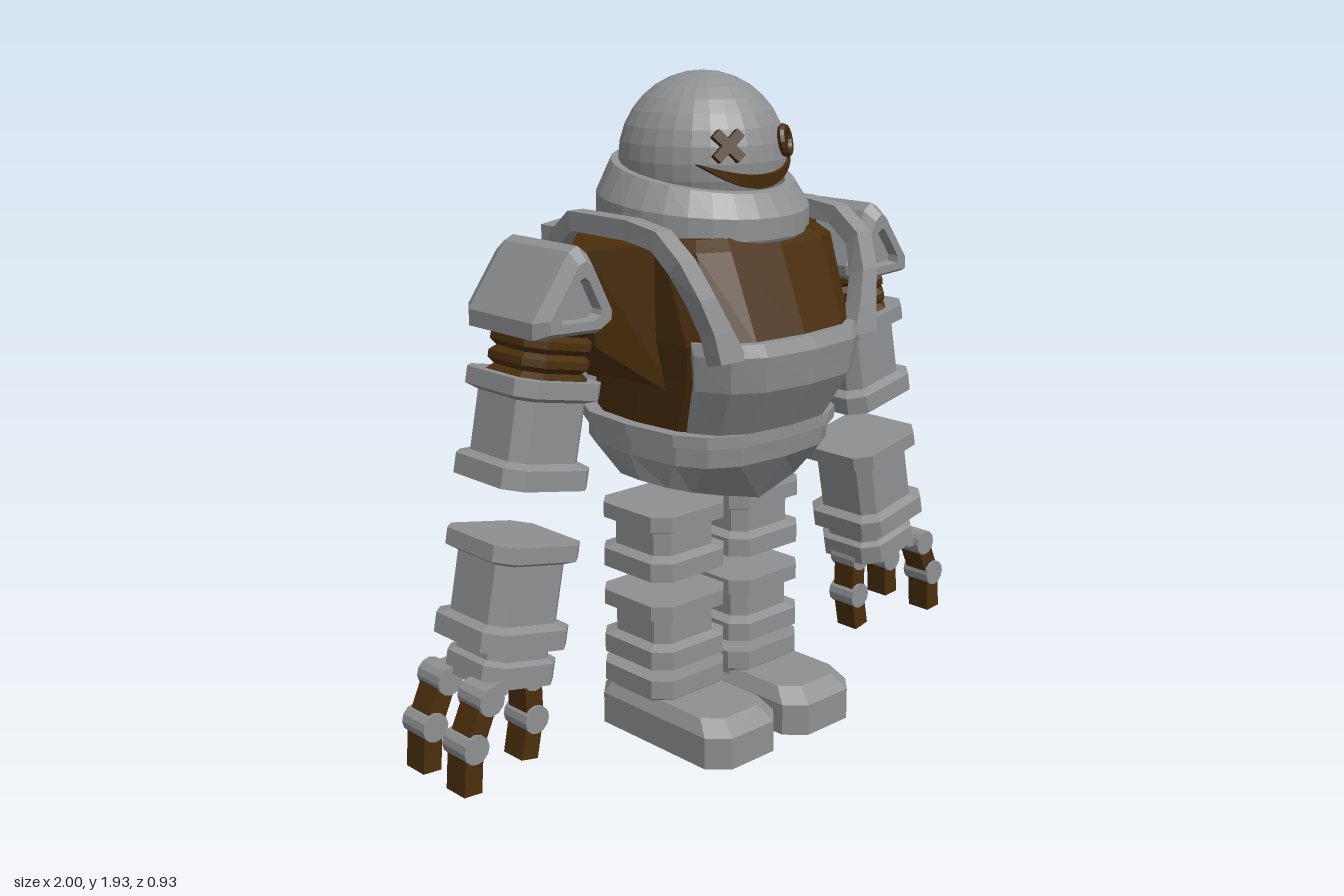
import * as THREE from 'three';

const grey = new THREE.MeshStandardMaterial({ color: 0x8e9092 });
grey.name = 'armour grey';
const brown = new THREE.MeshStandardMaterial({ color: 0x4a2e0b });
brown.name = 'dark brown';

// Reverse the winding of a non-indexed geometry
function flip(geo) {
  const p = geo.attributes.position, a = new THREE.Vector3(), b = new THREE.Vector3();
  for (let i = 0; i < p.count; i += 3) {
    a.fromBufferAttribute(p, i + 1);
    b.fromBufferAttribute(p, i + 2);
    p.setXYZ(i + 1, b.x, b.y, b.z);
    p.setXYZ(i + 2, a.x, a.y, a.z);
  }
  return geo;
}

// Closed solid through a list of equal-length rings of [x, y, z]
function loft(rings) {
  const v = [], n = rings[0].length;
  for (let r = 0; r + 1 < rings.length; r++) {
    for (let i = 0; i < n; i++) {
      const j = (i + 1) % n, A = rings[r], B = rings[r + 1];
      v.push(...A[i], ...A[j], ...B[j], ...A[i], ...B[j], ...B[i]);
    }
  }
  const cap = (ring, back) => {
    const c = [0, 1, 2].map(k => ring.reduce((s, q) => s + q[k], 0) / n);
    ring.forEach((q, i) => {
      const w = ring[(i + 1) % n];
      v.push(...c, ...(back ? w : q), ...(back ? q : w));
    });
  };
  cap(rings[0], true);
  cap(rings[rings.length - 1], false);
  const geo = new THREE.BufferGeometry();
  geo.setAttribute('position', new THREE.Float32BufferAttribute(v, 3));
  // Signed volume tells whether the faces point outwards
  let vol = 0;
  for (let i = 0; i < v.length; i += 9) {
    const [a, b, c] = [0, 3, 6].map(k => new THREE.Vector3(v[i + k], v[i + k + 1], v[i + k + 2]));
    vol += a.dot(b.cross(c));
  }
  return vol < 0 ? flip(geo) : geo;
}

// Rounded-rectangle ring and chamfered-rectangle ring, both level at y
const oval = (y, hx, z0, z1, n = 16, e = 0.65) => Array.from({ length: n }, (_, i) => {
  const t = i / n * Math.PI * 2, f = s => Math.abs(s) < 1e-6 ? 0 : Math.sign(s) * Math.abs(s) ** e;
  return [hx * f(Math.cos(t)), y, (z0 + z1) / 2 + (z1 - z0) / 2 * f(Math.sin(t))];
});
const oct = (y, hx, z0, z1, c) => [[hx, z0 + c], [hx, z1 - c], [hx - c, z1], [c - hx, z1],
  [-hx, z1 - c], [-hx, z0 + c], [c - hx, z0], [hx - c, z0]].map(([x, z]) => [x, y, z]);

// Chamfered block whose half width follows [y, scale] pairs
const stack = (profile, h) => loft(profile.map(([y, s]) => oct(y, h * s, -h * s, h * s, 0.045 * s)));
// Sleeve with a flange at each end
const sleeve = (h, half) => stack([[-h / 2, 1], [0.055 - h / 2, 1], [0.068 - h / 2, 0.8],
  [h / 2 - 0.058, 0.8], [h / 2 - 0.045, 1], [h / 2, 1]], half);

export function createModel() {
  const model = new THREE.Group();
  model.name = 'robot';

  const put = (name, geo, mat) => {
    const g = geo.index ? geo.toNonIndexed() : geo;
    g.computeVertexNormals();
    const m = new THREE.Mesh(g, mat);
    m.name = name;
    model.add(m);
  };
  const pair = (name, geo, mat) => {
    const g = geo.index ? geo.toNonIndexed() : geo;
    put(name + 'Left', g, mat);
    put(name + 'Right', flip(g.clone().scale(-1, 1, 1)), mat);
  };

  // Head dome
  put('headDome', new THREE.SphereGeometry(0.24, 28, 16).translate(0, 1.69, 0.015), grey);

  // Collar, raised towards the back
  const collar = new THREE.LatheGeometry([[0.22, 1.46], [0.29, 1.46], [0.305, 1.49], [0.305, 1.575],
    [0.262, 1.655], [0.235, 1.655], [0.235, 1.6]].map(q => new THREE.Vector2(...q)), 28);
  const cp = collar.attributes.position;
  for (let i = 0; i < cp.count; i++) {
    const k = Math.max(0, (cp.getY(i) - 1.48) / 0.17);
    cp.setY(i, cp.getY(i) - 0.17 * k * cp.getZ(i));
  }
  put('collar', collar.translate(0, 0, 0.015), grey);

  // Face: cross eye, ring eye and smile
  const onFace = (geo, x) => geo.rotateX(-0.2).rotateY(Math.atan2(x, 0.21)).translate(x, 1.74, 0.228);
  for (const s of [1, -1]) {
    put('crossEye', onFace(new THREE.BoxGeometry(0.1, 0.028, 0.035).rotateZ(s * Math.PI / 4), -0.112), brown);
  }
  put('ringEye', onFace(new THREE.TorusGeometry(0.037, 0.012, 6, 16), 0.115), brown);
  const smile = [];
  for (let i = 0; i <= 16; i++) {
    const u = i / 8 - 1, x = 0.18 * u, top = 1.658 + 0.034 * u * u, low = 1.618 + 0.072 * u * u;
    const at = (y, r) => [x, y, 0.015 + Math.sqrt(r * r - x * x - (y - 1.69) ** 2)];
    smile.push([at(low, 0.25), at(top, 0.25), at(top, 0.232), at(low, 0.232)]);
  }
  put('smile', loft(smile), brown);

  // Torso core and wedge shoulders
  put('torsoCore', loft([oval(0.94, 0.285, -0.25, 0.32), oval(1.12, 0.305, -0.25, 0.41),
    oval(1.22, 0.32, -0.25, 0.425), oval(1.47, 0.335, -0.25, 0.325), oval(1.5, 0.3, -0.24, 0.29)]), brown);
  pair('shoulderWedge', loft([
    [[0.27, 1.06, -0.19], [0.27, 1.06, 0.19], [0.29, 1.49, 0.19], [0.29, 1.49, -0.19]],
    [[0.425, 1.2, -0.025], [0.425, 1.2, 0.035], [0.46, 1.47, 0.035], [0.46, 1.47, -0.025]]]), brown);

  // Breast plate wrapped round the lower chest
  const rows = [[0.95, 0.275, 0.36], [1.1, 0.31, 0.45], [1.2, 0.325, 0.465], [1.235, 0.325, 0.45]];
  const outer = rows.map(([y, hx, z]) => oval(y, hx, -0.24, z));
  const inner = rows.map(([y, hx, z]) => oval(y, hx - 0.04, -0.24, z - 0.05));
  put('breastPlate', loft([1, 2, 3, 4, 5, 6, 7].map(k =>
    [...outer.map(r => r[k]), ...inner.map(r => r[k]).reverse()])), grey);

  // Straps over the shoulders to the backpack: x, y, z, half width
  const path = [[0.265, 1.19, 0.385, 0.05], [0.29, 1.27, 0.37, 0.036], [0.325, 1.36, 0.345, 0.03],
    [0.352, 1.45, 0.3, 0.03], [0.352, 1.51, 0.22, 0.028], [0.345, 1.525, 0.1, 0.028],
    [0.34, 1.525, -0.14, 0.028], [0.325, 1.46, -0.22, 0.035], [0.28, 1.38, -0.26, 0.045], [0.24, 1.27, -0.31, 0.06]];
  pair('strap', loft(path.map(([x, y, z, w], i) => {
    const a = path[Math.max(i - 1, 0)], b = path[Math.min(i + 1, path.length - 1)];
    const l = Math.hypot(b[1] - a[1], b[2] - a[2]);
    const ny = -(b[2] - a[2]) / l * 0.028, nz = (b[1] - a[1]) / l * 0.028;
    return [[x - w, y + ny, z + nz], [x + w, y + ny, z + nz], [x + w, y - ny, z - nz], [x - w, y - ny, z - nz]];
  })), grey);

  // Backpack with a curved back
  const pack = (y, s, d) => [[0.2, -0.26], [0.26, -0.32], [0.26, -0.4], [0.15, -0.45], [0, -0.465],
    [-0.15, -0.45], [-0.26, -0.4], [-0.26, -0.32], [-0.2, -0.26]].map(([x, z]) => [x * s, y, -0.26 + (z + 0.26) * d]);
  put('backpack', loft([pack(0.975, 0.94, 0.4), pack(1.02, 0.98, 0.86), pack(1.19, 1, 1),
    pack(1.475, 1, 1), pack(1.475, 0.9, 0.9), pack(1.465, 0.88, 0.88)]), grey);

  // Belt and pelvis with a keeled underside
  put('belt', loft([oval(0.93, 0.325, -0.29, 0.37), oval(0.965, 0.325, -0.29, 0.37)]), grey);
  const keel = oval(0.8, 0.295, -0.12, 0.25).map(([x, y, z]) => [x, 0.725 + 0.25 * Math.abs(x), z]);
  put('pelvis', loft([keel.map(([, , z]) => [0, 0.725, z]), keel,
    oval(0.87, 0.305, -0.28, 0.35), oval(0.935, 0.305, -0.28, 0.36)]), grey);

  // Legs and boots
  pair('thigh', sleeve(0.195, 0.146).translate(0.157, 0.603, 0.015), grey);
  pair('shin', sleeve(0.195, 0.146).translate(0.157, 0.333, 0.015), grey);
  pair('bootCuff', stack([[0.08, 0.85], [0.13, 0.85], [0.145, 1], [0.2, 1]], 0.146).translate(0.157, 0, 0.015), grey);
  pair('bootFoot', loft([oct(0, 0.14, -0.155, 0.39, 0.055), oct(0.095, 0.14, -0.155, 0.39, 0.055),
    oct(0.135, 0.115, -0.135, 0.34, 0.05)]).translate(0.16, 0, 0), grey);

  // Shoulder pads: bevelled triangle with a recess on both ends
  const tri = [[0.735, 1.285], [0.735, 1.33], [0.61, 1.5], [0.58, 1.513], [0.55, 1.49], [0.47, 1.33], [0.475, 1.3], [0.52, 1.275]];
  const slice = (z, s) => tri.map(([x, y]) => [0.6 + (x - 0.6) * s, 1.36 + (y - 1.36) * s, z]);
  pair('shoulderPad', loft([slice(-0.13, 0.44), slice(-0.16, 0.5), slice(-0.16, 0.78), slice(-0.12, 1),
    slice(0.15, 1), slice(0.19, 0.78), slice(0.19, 0.5), slice(0.16, 0.44)]), grey);

  // Arms, tilted outwards
  const tilt = (geo, x, y) => geo.rotateZ(0.2).translate(x, y, 0.015);
  const ribs = [];
  for (let i = 0; i < 4; i++) {
    const y = i * 0.05 - 0.1;
    ribs.push([y, 0.86], [y + 0.015, 1], [y + 0.035, 1]);
  }
  pair('armBellows', tilt(stack(ribs, 0.117), 0.603, 1.22), brown);
  pair('upperArm', tilt(sleeve(0.29, 0.148), 0.653, 1.015), grey);
  pair('forearm', tilt(sleeve(0.29, 0.148), 0.737, 0.583), grey);
  pair('wrist', tilt(stack([[-0.03, 1], [0.03, 1], [0.04, 0.85], [0.08, 0.85]], 0.125), 0.768, 0.365), grey);

  // Fingers: knuckle, middle joint and tip as [x, y], at depth z
  const outerFinger = [[0.902, 0.34], [0.957, 0.22], [0.967, 0.09]];
  const thumb = [[0.685, 0.315], [0.682, 0.185], [0.705, 0.07]];
  for (const [pts, z] of [[outerFinger, 0.105], [outerFinger, -0.08], [thumb, 0.012]]) {
    pts.forEach(([x, y], i) => {
      if (i === 2) return;
      const [x2, y2] = pts[i + 1], dx = x2 - x, dy = y2 - y;
      pair(i ? 'fingerTip' : 'fingerBone', new THREE.BoxGeometry(0.058, Math.hypot(dx, dy), 0.08)
        .rotateZ(Math.atan2(dx, -dy)).translate((x + x2) / 2, (y + y2) / 2, z), brown);
      pair('fingerJoint', new THREE.CylinderGeometry(0.041, 0.041, 0.1, 12)
        .rotateX(Math.PI / 2).translate(x, y, z), grey);
    });
    // Short link from wrist to knuckle
    pair('fingerLink', new THREE.BoxGeometry(0.07, 0.04, 0.06)
      .translate(pts[0][0] + (pts === thumb ? 0.03 : -0.03), pts[0][1] + 0.015, z), grey);
  }

  return model;
}
